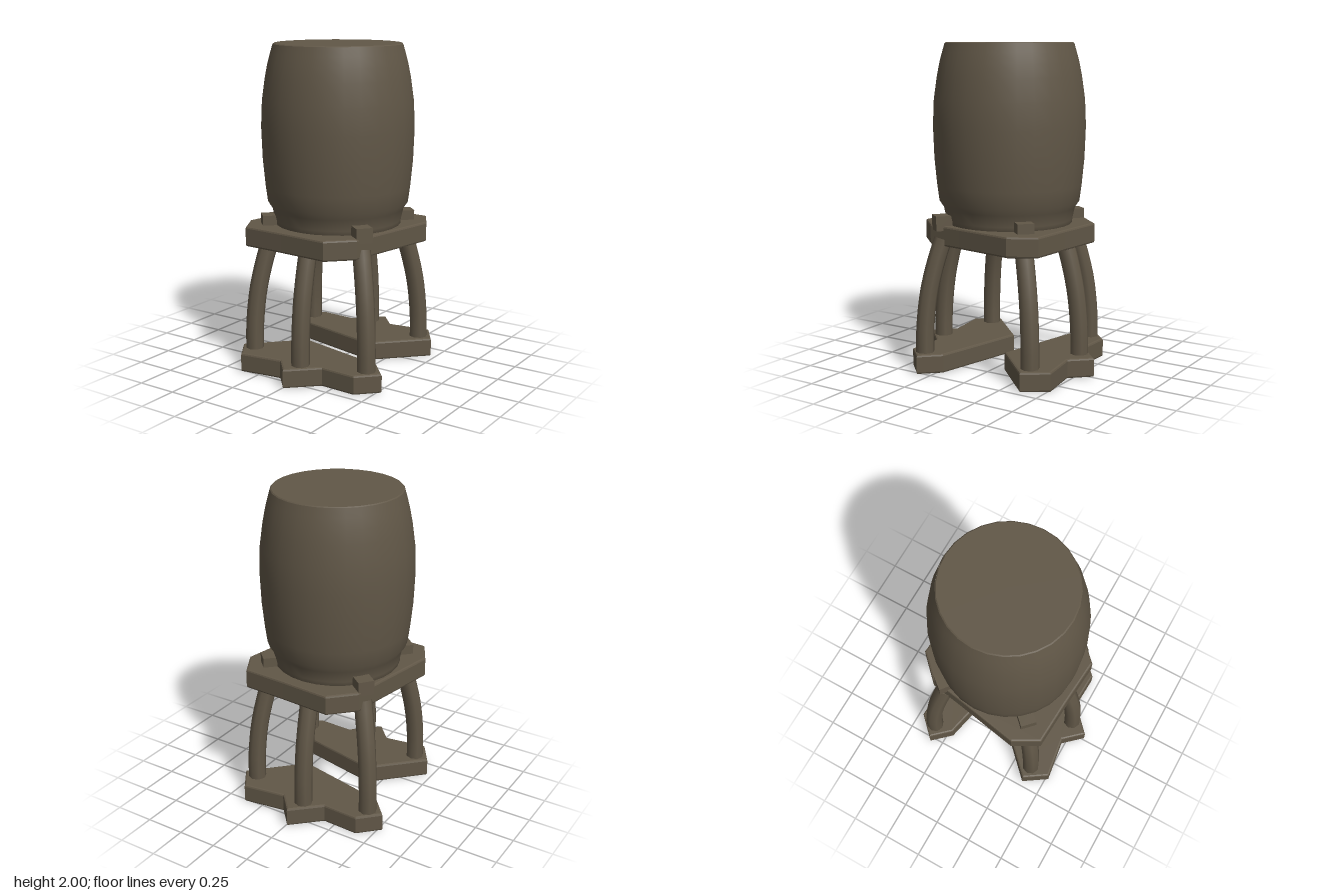
import * as THREE from 'three';

const bronze = new THREE.MeshStandardMaterial({ color: 0x615747 });
bronze.name = 'dark bronze';

function add(parent, geometry, name) {
  const mesh = new THREE.Mesh(geometry, bronze);
  mesh.name = name;
  parent.add(mesh);
  return mesh;
}

// Slab with a softened edge from an [x, z] outline, standing on y = y0
function slab(points, y0, height) {
  const bevel = 0.012;
  const shape = new THREE.Shape(points.map(([x, z]) => new THREE.Vector2(x, -z)));
  const geo = new THREE.ExtrudeGeometry(shape, {
    depth: height - 2 * bevel, bevelThickness: bevel, bevelSize: bevel,
    bevelOffset: -bevel, bevelSegments: 2,
  });
  return geo.rotateX(-Math.PI / 2).translate(0, y0 + bevel, 0);
}

// Half turn about the vertical axis
const opposite = (points) => points.map(([x, z]) => [-x, -z]);

export function createModel() {
  const model = new THREE.Group();
  model.name = 'tankOnStand';

  // Bulging tank with a narrow neck at the bottom and a sloping shoulder
  const profile = [
    [0, 0.86], [0.385, 0.86], [0.39, 0.93], [0.405, 1.0], [0.432, 1.04], [0.445, 1.14],
    [0.46, 1.3], [0.467, 1.5], [0.46, 1.66], [0.44, 1.8], [0.424, 1.88], [0.408, 1.94], [0.392, 1.995],
  ].map(([r, y]) => new THREE.Vector2(r, y));
  add(model, new THREE.LatheGeometry(profile, 28), 'tank');
  const lid = new THREE.CylinderGeometry(0.385, 0.392, 0.006, 28);
  add(model, lid.translate(0, 1.997, 0), 'tankLid');

  // Six-sided platform under the tank
  const half = [[0.47, -0.28], [0.38, -0.44], [0.1, -0.455], [-0.22, -0.48], [-0.36, -0.34], [-0.4, -0.1]];
  add(model, slab([...half, ...opposite(half)], 0.78, 0.125), 'platform');

  // Two pointed feet, each the half turn of the other
  const foot = [
    [-0.53, -0.33], [-0.41, -0.45], [-0.18, -0.44], [-0.01, -0.6], [0.1, -0.48], [0.37, -0.52],
    [0.47, -0.37], [0.39, -0.29], [0.18, -0.08], [-0.1, -0.14], [-0.42, -0.21],
  ];
  add(model, slab(foot, 0, 0.12), 'backFoot');
  add(model, slab(opposite(foot), 0, 0.12), 'frontFoot');

  // Three curved legs on each foot: bottom and top [x, z]
  const legs = [
    { name: 'Outer', low: [-0.43, -0.34], high: [-0.34, -0.26], corner: true },
    { name: 'Middle', low: [-0.05, -0.475], high: [-0.04, -0.37] },
    { name: 'Inner', low: [0.37, -0.38], high: [0.3, -0.29], corner: true },
  ];
  for (const [side, s] of [['back', 1], ['front', -1]]) {
    for (const { name, low, high, corner } of legs) {
      const at = (t, y) => new THREE.Vector3(
        s * THREE.MathUtils.lerp(low[0], high[0], t), y, s * THREE.MathUtils.lerp(low[1], high[1], t));
      const path = new THREE.CatmullRomCurve3([at(0, 0.08), at(0.03, 0.28), at(0.25, 0.5), at(0.62, 0.68), at(1, 0.82)]);
      add(model, new THREE.TubeGeometry(path, 12, 0.056, 8), `${side}${name}Leg`);

      // Small socket where a corner leg comes through the platform
      if (corner) {
        const socket = add(model, new THREE.BoxGeometry(0.1, 0.09, 0.1), `${side}${name}Socket`);
        socket.position.copy(at(0.95, 0.92));
        socket.rotation.y = Math.atan2(low[0], low[1]);
      }
    }
  }
  return model;
}
